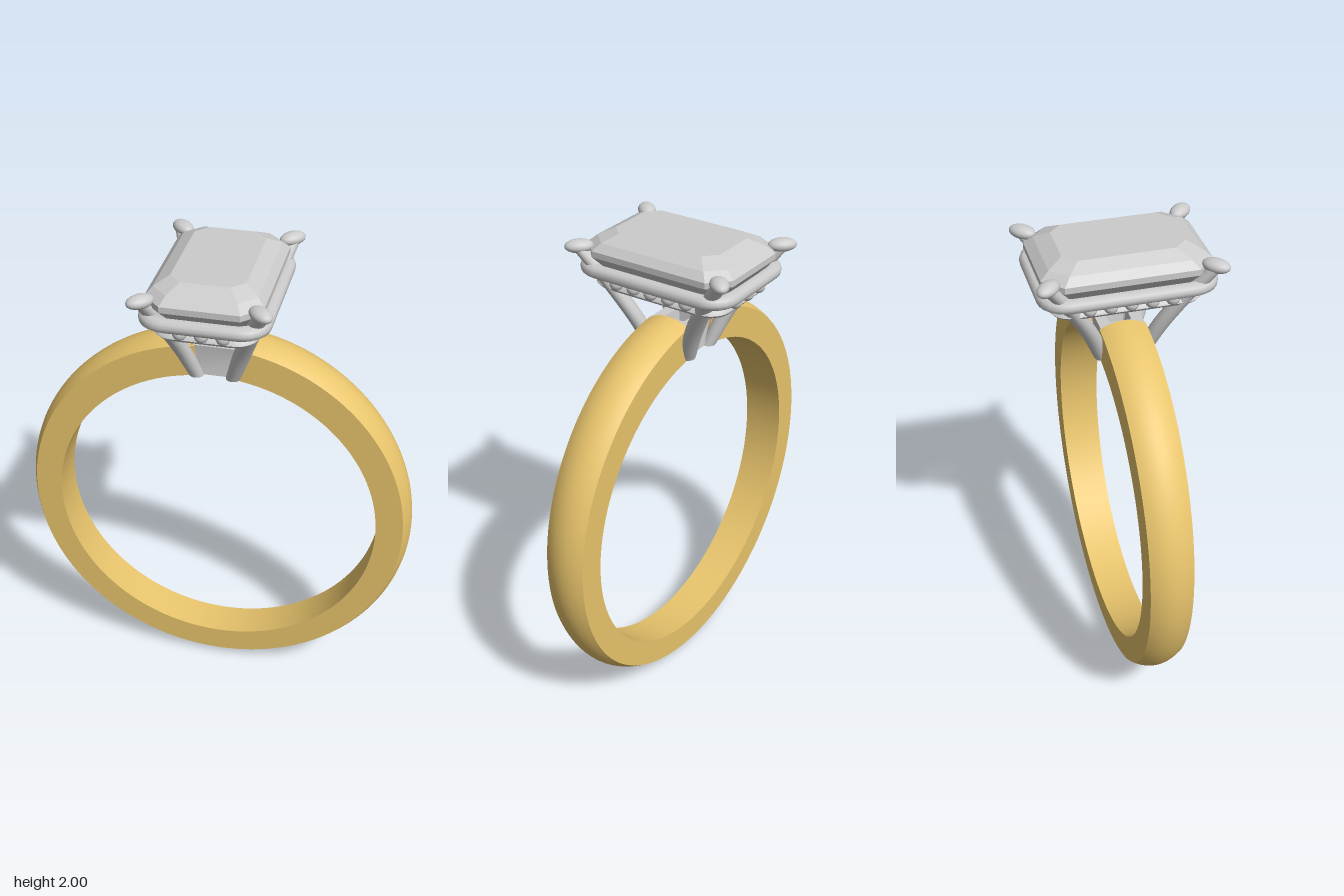
import * as THREE from 'three';
import { toCreasedNormals } from 'three/addons/utils/BufferGeometryUtils.js';

const V = (x, y, z) => new THREE.Vector3(x, y, z);

// Skin a list of closed loops; either cap both ends or join last loop to first
function loft(loops, { cap = true, crease = 0.6 } = {}) {
  const n = loops[0].length, m = loops.length;
  const pos = [], idx = [];
  loops.forEach(l => l.forEach(p => pos.push(p.x, p.y, p.z)));
  for (let i = 0; i < (cap ? m - 1 : m); i++) {
    for (let j = 0; j < n; j++) {
      const a = i * n + j, b = i * n + (j + 1) % n;
      const d = ((i + 1) % m) * n + j, c = ((i + 1) % m) * n + (j + 1) % n;
      idx.push(a, b, c, a, c, d);
    }
  }
  if (cap) {
    [0, m - 1].forEach(i => {
      const c = loops[i].reduce((s, p) => s.add(p), V(0, 0, 0)).divideScalar(n);
      const k = pos.length / 3;
      pos.push(c.x, c.y, c.z);
      for (let j = 0; j < n; j++) {
        const a = i * n + j, b = i * n + (j + 1) % n;
        if (i) idx.push(a, b, k); else idx.push(b, a, k);
      }
    });
  }
  const g = new THREE.BufferGeometry();
  g.setAttribute('position', new THREE.Float32BufferAttribute(pos, 3));
  g.setIndex(idx);
  return toCreasedNormals(g, crease);
}

// Horizontal rectangle with corners of size c; steps = 1 gives cut corners
function rect(hx, hz, c, y, steps) {
  const pts = [];
  [[1, 1], [1, -1], [-1, -1], [-1, 1]].forEach(([sx, sz], q) => {
    for (let k = 0; k <= steps; k++) {
      const a = (q - 1 + k / steps) * Math.PI / 2;
      pts.push(V(sx * (hx - c) + c * Math.cos(a), y, sz * (hz - c) - c * Math.sin(a)));
    }
  });
  return pts;
}

export function createModel() {
  const root = new THREE.Group();
  const grey = new THREE.MeshStandardMaterial({ color: 0xcccccc });
  const gold = new THREE.MeshStandardMaterial({ color: 0xe8c46c });
  const add = (name, geo, mat = grey, parent = root) => {
    const m = new THREE.Mesh(geo, mat);
    m.name = name;
    parent.add(m);
    return m;
  };

  // Band: flat inside and sides, domed outside, thicker and wider at the top,
  // open where the setting sits
  const cy = 0.828, inner = 0.69, gap = 0.1, N = 120;
  const band = [];
  for (let i = 0; i <= N; i++) {
    const t = gap + (2 * Math.PI - 2 * gap) * i / N;
    const up = (1 + Math.cos(t)) / 2;
    const w = 0.08 + 0.014 * up, crown = 0.828 + 0.024 * up ** 3;
    const section = [];
    for (let k = 0; k <= 12; k++) {
      const s = k / 6 - 1;
      section.push([crown - 0.028 * s * s, s * w]);
    }
    section.push([inner, w], [inner, -w]);
    band.push(section.map(([r, z]) => V(r * Math.sin(t), cy + r * Math.cos(t), z)));
  }
  add('band', loft(band), gold);

  // Emerald-cut stone: half width, half depth, corner cut, height
  const stone = [
    [0.004, 0.115, 0.002, 1.71], [0.105, 0.185, 0.035, 1.775], [0.165, 0.262, 0.055, 1.835],
    [0.228, 0.335, 0.075, 1.915], [0.228, 0.335, 0.075, 1.94],
    [0.2, 0.3, 0.065, 1.97], [0.145, 0.24, 0.05, 2.0],
  ].map(([x, z, c, y]) => rect(x, z, c, y, 1));
  add('stone', loft(stone, { crease: 0.05 }));

  // Gallery rail with a groove around its outside: inset, height
  const rail = [
    [0.08, 1.772], [0.062, 1.778], [0.052, 1.79], [0.056, 1.8], [0.072, 1.812], [0.06, 1.838],
    [0.014, 1.836], [0.003, 1.845], [0, 1.86], [0.004, 1.876], [0.016, 1.885], [0.04, 1.885],
    [0.105, 1.78],
  ].map(([o, y]) => rect(0.255 - o, 0.354 - o, 0.11 - 0.5 * o, y, 6));
  add('galleryRail', loft(rail, { cap: false, crease: 0.8 }));

  // Beads set in the groove on all four sides
  const beads = new THREE.Group();
  beads.name = 'beads';
  root.add(beads);
  const beadGeo = new THREE.SphereGeometry(0.028, 16, 12);
  [1, -1].forEach(s => {
    for (let k = -1; k <= 1; k++) add('endBead', beadGeo, grey, beads).position.set(k * 0.083, 1.822, s * 0.304);
    for (let k = -2; k <= 2; k++) add('sideBead', beadGeo, grey, beads).position.set(s * 0.205, 1.822, k * 0.081);
  });

  // Four prongs flaring to the corners, each with a flattened rounded claw
  const tipGeo = new THREE.SphereGeometry(1, 20, 14);
  [[1, 1], [1, -1], [-1, -1], [-1, 1]].forEach(([sx, sz]) => {
    const prong = new THREE.Group();
    prong.name = 'prong';
    root.add(prong);
    const path = new THREE.CatmullRomCurve3([
      V(sx * 0.075, 1.515, sz * 0.085), V(sx * 0.118, 1.65, sz * 0.137),
      V(sx * 0.168, 1.79, sz * 0.214), V(sx * 0.23, 1.95, sz * 0.326),
    ]);
    const loops = path.getPoints(16).map((p, i) => {
      const r = 0.03 + 0.007 * Math.sin(Math.PI * i / 16);
      return Array.from({ length: 16 }, (_, k) => {
        const a = k / 16 * 2 * Math.PI;
        return V(p.x + r * Math.cos(a), p.y, p.z - r * Math.sin(a));
      });
    });
    add('prongStem', loft(loops), grey, prong);
    const tip = add('prongClaw', tipGeo, grey, prong);
    tip.scale.set(0.058, 0.027, 0.036);
    tip.position.set(sx * 0.226, 1.948, sz * 0.322);
    tip.rotation.y = -Math.atan2(sz, sx);
  });

  // Hollow base block between the prongs, flared upward
  const base = [
    [0.072, 0.085, 1.517], [0.08, 0.08, 1.58], [0.1, 0.09, 1.65],
    [0.045, 0.045, 1.65], [0.03, 0.03, 1.517],
  ].map(([x, z, y]) => rect(x, z, 0.006, y, 1));
  add('settingBase', loft(base, { cap: false, crease: 0.5 }));

  return root;
}
